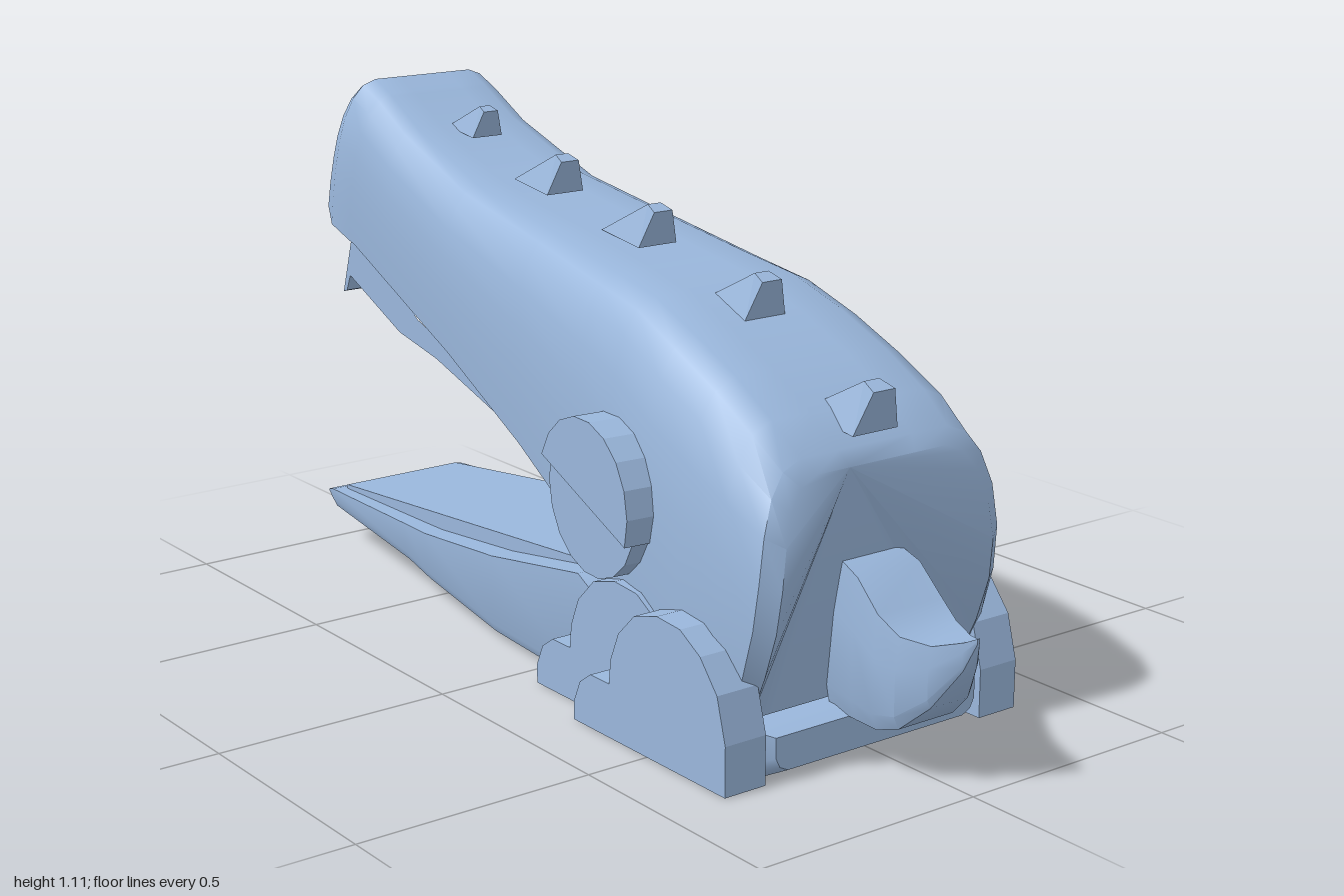
import * as THREE from 'three';
import { toCreasedNormals } from 'three/addons/utils/BufferGeometryUtils.js';

const blue = new THREE.MeshStandardMaterial({ color: 0x9ab7dc });
blue.name = 'soft blue';

// Skins closed rings (counter-clockwise from the front, ordered from +z to -z) and caps both ends.
function loft(rings, crease) {
  const n = rings[0].length;
  const index = [];
  for (let i = 0; i < rings.length - 1; i++) {
    for (let j = 0; j < n; j++) {
      const k = (j + 1) % n;
      const a = i * n + j, b = i * n + k, c = a + n, d = b + n;
      index.push(a, c, b, b, c, d);
    }
  }
  const last = (rings.length - 1) * n;
  for (let j = 1; j < n - 1; j++) {
    index.push(0, j, j + 1, last, last + j + 1, last + j);
  }
  const geometry = new THREE.BufferGeometry();
  geometry.setAttribute('position', new THREE.Float32BufferAttribute(rings.flat(2), 3));
  geometry.setIndex(index);
  return toCreasedNormals(geometry, crease);
}

// Mirrors a left half, listed from top to bottom, into a full ring.
const mirrorRing = half => [...half, ...half.map(([x, y, z]) => [-x, y, z]).reverse()];

// Plate drawn in (z, y) and spanning x0 to x1.
function plate(points, x0, x1, hole) {
  const shape = new THREE.Shape(points.map(p => new THREE.Vector2(...p)));
  if (hole) shape.holes.push(new THREE.Path(hole.map(p => new THREE.Vector2(...p))));
  const geometry = new THREE.ExtrudeGeometry(shape, { depth: x1 - x0, bevelEnabled: false });
  return geometry.rotateY(-Math.PI / 2).translate(x1, 0, 0);
}

// Arc of points in (z, y)
function arc(cz, cy, r, from, to, steps) {
  return Array.from({ length: steps + 1 }, (_, i) => {
    const a = from + (to - from) * i / steps;
    return [cz + r * Math.cos(a), cy + r * Math.sin(a)];
  });
}

export function createModel() {
  const model = new THREE.Group();
  model.name = 'reptileClip';
  const add = (name, geometry) => {
    const mesh = new THREE.Mesh(geometry, blue);
    mesh.name = name;
    model.add(mesh);
    return mesh;
  };

  // Head and upper jaw: top z, top y, bottom z, bottom y, half width, ceiling of the hollow (1 = solid), bow
  const outline = [[0.3, 0], [0.6, 0], [0.75, 0.035], [0.86, 0.12], [0.94, 0.25], [0.985, 0.42], [1, 0.6], [1, 0.8], [0.985, 1]];
  const bodyStations = [
    [0.735, 0.575, 0.68, 0.11, 0.265, 1, 0.055],
    [0.715, 0.605, 0.66, 0.10, 0.30, 1, 0.05],
    [0.64, 0.66, 0.60, 0.10, 0.31, 1, 0.02],
    [0.53, 0.72, 0.50, 0.10, 0.305, 1, 0],
    [0.40, 0.775, 0.38, 0.15, 0.30, 1, 0],
    [0.27, 0.82, 0.27, 0.255, 0.285, 1, 0],
    [0.14, 0.84, 0.15, 0.33, 0.27, 1, 0],
    [0.12, 0.843, 0.13, 0.345, 0.268, 0.25, 0],
    [-0.10, 0.88, -0.10, 0.455, 0.245, 0.25, 0],
    [-0.40, 0.93, -0.40, 0.58, 0.22, 0.3, 0],
    [-0.65, 1.02, -0.65, 0.68, 0.208, 0.35, 0],
    [-0.75, 1.075, -0.80, 0.745, 0.205, 0.4, 0],
    [-0.76, 1.08, -0.82, 0.75, 0.205, 1, 0],
    [-0.82, 1.105, -0.895, 0.775, 0.205, 1, 0],
    [-0.845, 1.095, -0.93, 0.81, 0.192, 1, 0],
  ];
  add('upperBody', loft(bodyStations.map(([zt, yt, zb, yb, hw, ceiling, bow]) => {
    const at = (x, t) => [-x, yt + (yb - yt) * t, zt + (zb - zt) * t + bow * Math.sin(Math.PI * t)];
    return mirrorRing([...outline.map(([x, t]) => at(x * hw, t)), at(hw - 0.05, 1), at(hw - 0.05, ceiling)]);
  }), 0.65));

  // Lower jaw: z, bottom, top, half width
  const jawStations = [
    [0.74, 0.02, 0.09, 0.25], [0.70, 0, 0.10, 0.28], [0.36, 0, 0.10, 0.28], [0.20, 0, 0.22, 0.27],
    [0.14, 0, 0.245, 0.265], [-0.20, 0.005, 0.185, 0.245], [-0.50, 0.035, 0.15, 0.22],
    [-0.60, 0.05, 0.145, 0.21], [-0.97, 0.075, 0.128, 0.178], [-1, 0.085, 0.12, 0.17],
  ];
  add('lowerJaw', loft(jawStations.map(([z, yb, yt, hw]) =>
    mirrorRing([[-hw, yt, z], [-hw, yb + 0.03, z], [-hw + 0.01, yb + 0.01, z], [-hw + 0.03, yb, z]])), 0.6));
  add('jawPad', loft([[0.14, 0.2, 0.252, 0.21], [-0.95, 0.1, 0.138, 0.15]].map(([z, yb, yt, hw]) =>
    mirrorRing([[-hw, yt, z], [-hw, yb, z]])), 0.3));

  // Curled tail: z, top, bottom, half width
  const tailStations = [
    [0.68, 0.40, 0.09, 0.08], [0.76, 0.37, 0.09, 0.088], [0.82, 0.315, 0.09, 0.09], [0.87, 0.285, 0.105, 0.08],
    [0.93, 0.28, 0.16, 0.055], [0.98, 0.295, 0.24, 0.02], [1, 0.305, 0.295, 0.003],
  ].reverse();
  add('tail', loft(tailStations.map(([z, yt, yb, hw]) => {
    const y = t => yb + (yt - yb) * t;
    return mirrorRing([[-hw * 0.88, yt, z], [-hw, y(0.65), z], [-hw, y(0.15), z], [-hw * 0.85, yb, z]]);
  }), 0.5));

  // Back spikes: z and y of the tip, size
  const spikes = [[0.70, 0.72, 1.1], [0.38, 0.865, 1], [0.04, 0.945, 0.95], [-0.28, 1.0, 0.92], [-0.57, 1.065, 0.75]];
  for (const [z, y, s] of spikes) {
    const ring = (w, top, bottom) => mirrorRing([
      [-top[0] * s, y + top[1] * s, z + top[2] * s], [-w * s, y + bottom[1] * s, z + bottom[2] * s]]);
    add('backSpike', loft([
      ring(0.05, [0.024, -0.012, 0.032], [0, -0.088, 0.012]),
      ring(0.05, [0.017, 0, 0], [0, -0.07, -0.12]),
    ], 0.1));
  }

  // Parts repeated on both sides
  const outerFoot = [[0.735, 0], [0.735, 0.1], [0.71, 0.19], [0.66, 0.25], [0.6, 0.285], [0.53, 0.29], [0.46, 0.27],
    [0.41, 0.22], [0.385, 0.16], [0.38, 0.11], [0.32, 0.11], [0.285, 0.085], [0.265, 0.04], [0.265, 0]];
  const innerFoot = outerFoot.map(([z, y]) => [z - 0.203, y]);
  const jawWall = [[0.15, 0.25], [0.11, 0.28], [0.09, 0.325], [-0.55, 0.525], [-0.70, 0.555], [-0.915, 0.65],
    [-0.88, 0.79], [-0.5, 0.66], [-0.1, 0.5], [0.15, 0.38]];
  const tilt = Math.atan2(0.115, -0.335);
  const slot = [...arc(-0.285, 0.512, 0.025, tilt - Math.PI / 2, tilt - Math.PI * 1.5, 6),
    ...arc(-0.615, 0.622, 0.025, tilt + Math.PI / 2, tilt - Math.PI / 2, 6)];
  const fang = [[-0.86, 0.78], [-0.885, 0.78], [-0.94, 0.605], [-0.925, 0.61], [-0.91, 0.645], [-0.86, 0.67]];
  const eyeCut = -0.34;

  for (const side of [1, -1]) {
    const label = side > 0 ? 'left' : 'right';
    const sidePlate = (name, points, x0, x1, hole) =>
      add(label + name, plate(points, Math.min(side * x0, side * x1), Math.max(side * x0, side * x1), hole));

    sidePlate('OuterFoot', outerFoot, 0.27, 0.365);
    sidePlate('InnerFoot', innerFoot, 0.255, 0.312);
    sidePlate('JawWall', jawWall, 0.12, 0.15, slot);
    sidePlate('Fang', fang, 0.08, 0.15);

    // Eye: thick lid above, thinner half below, toed to follow the head
    const lid = sidePlate('EyeLid', arc(0, 0, 0.162, eyeCut, eyeCut + Math.PI, 9), 0.24, 0.346);
    const eye = sidePlate('Eye', arc(0, 0, 0.158, eyeCut - Math.PI, eyeCut, 9), 0.24, 0.326);
    for (const part of [lid, eye]) {
      part.position.set(0, 0.445, 0.295);
      part.rotation.y = side * 0.08;
    }
  }
  return model;
}
